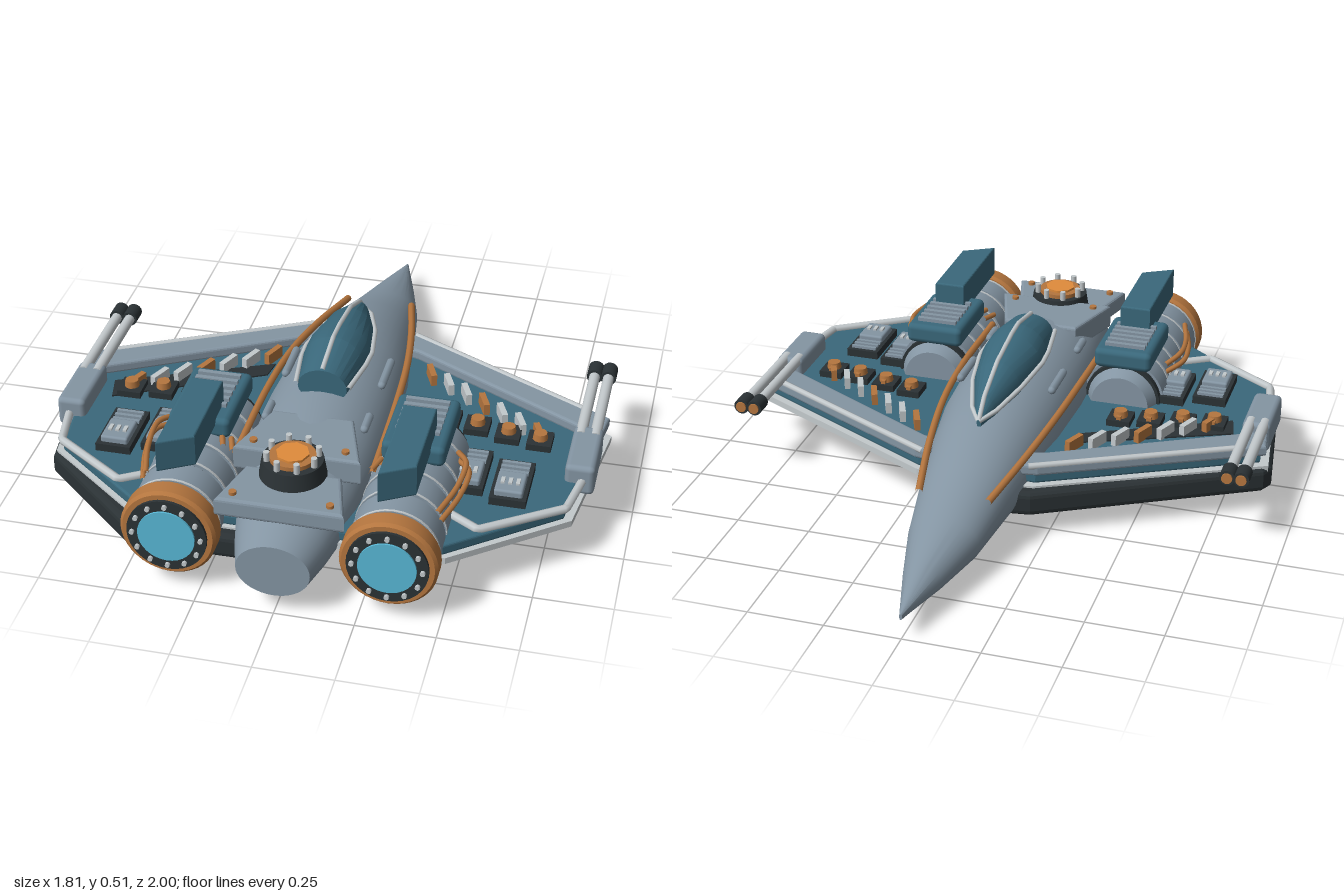
import * as THREE from 'three';
import { toCreasedNormals } from 'three/addons/utils/BufferGeometryUtils.js';
import { RoundedBoxGeometry } from 'three/addons/geometries/RoundedBoxGeometry.js';

const mat = (name, color) => Object.assign(new THREE.MeshStandardMaterial({ color }), { name });
const hull = mat('hull grey', 0x8495a3);
const teal = mat('teal panel', 0x3a687b);
const dark = mat('dark metal', 0x2b3235);
const light = mat('light metal', 0xc3c9cc);
const copper = mat('copper', 0xb5763f);
const amber = mat('amber', 0xe08c3c);
const glow = mat('engine blue', 0x58b8d6);

function add(parent, name, geo, material, x = 0, y = 0, z = 0) {
  const m = new THREE.Mesh(geo, material);
  m.name = name;
  m.position.set(x, y, z);
  parent.add(m);
  return m;
}
const box = (w, h, d) => new THREE.BoxGeometry(w, h, d);
const rbox = (w, h, d, r = 0.015) => new RoundedBoxGeometry(w, h, d, 2, r);
const cylY = (r, h, r2 = r, n = 32) => new THREE.CylinderGeometry(r, r2, h, n);
const cylZ = (r, h, r2 = r, n = 32) => new THREE.CylinderGeometry(r, r2, h, n).rotateX(Math.PI / 2);

// Tube through straight segments or a smooth curve
function pipe(points, r, smooth = true) {
  const v = points.map(p => new THREE.Vector3(...p));
  let path = new THREE.CatmullRomCurve3(v);
  if (!smooth) {
    path = new THREE.CurvePath();
    for (let i = 1; i < v.length; i++) path.add(new THREE.LineCurve3(v[i - 1], v[i]));
  }
  return new THREE.TubeGeometry(path, 40, r, 8);
}

// Flat plate from [x, z] outline between heights y0 and y1
function plate(pts, y0, y1, bevel = 0) {
  const shape = new THREE.Shape(pts.map(([x, z]) => new THREE.Vector2(x, -z)));
  const geo = new THREE.ExtrudeGeometry(shape, {
    depth: y1 - y0 - 2 * bevel, bevelEnabled: bevel > 0, bevelSize: bevel,
    bevelThickness: bevel, bevelOffset: -bevel, bevelSegments: 3,
  });
  return geo.rotateX(-Math.PI / 2).translate(0, y0 + bevel, 0);
}

// Loft of split ellipses; section = [z, centreY, halfWidth, up, down]
function loft(sections, n = 40, crease = 0.5) {
  const pos = [], idx = [];
  for (const [z, cy, rx, up, down] of sections) {
    for (let i = 0; i < n; i++) {
      const a = i / n * Math.PI * 2, s = Math.sin(a);
      pos.push(rx * Math.cos(a), cy + s * (s > 0 ? up : down), z);
    }
  }
  for (let j = 0; j < sections.length - 1; j++) {
    for (let i = 0; i < n; i++) {
      const a = j * n + i, b = j * n + (i + 1) % n;
      idx.push(a, b, b + n, a, b + n, a + n);
    }
  }
  const end = (sections.length - 1) * n;
  for (let i = 1; i < n - 1; i++) idx.push(0, i + 1, i, end, end + i, end + i + 1);
  const g = new THREE.BufferGeometry();
  g.setAttribute('position', new THREE.Float32BufferAttribute(pos, 3));
  g.setIndex(idx);
  return toCreasedNormals(g, crease);
}

function buildFuselage(root) {
  add(root, 'fuselage', loft([
    [-1, 0.083, 0.005, 0.01, 0.01], [-0.8, 0.09, 0.065, 0.06, 0.04],
    [-0.6, 0.11, 0.118, 0.092, 0.078], [-0.4, 0.15, 0.15, 0.128, 0.125],
    [-0.2, 0.18, 0.18, 0.165, 0.16], [0, 0.2, 0.205, 0.185, 0.187],
    [0.25, 0.21, 0.215, 0.19, 0.205], [0.5, 0.21, 0.21, 0.18, 0.18],
    [0.7, 0.195, 0.19, 0.165, 0.142], [0.9, 0.17, 0.145, 0.12, 0.1],
    [1, 0.165, 0.115, 0.09, 0.09]]), hull);

  // Canopy and its frame
  add(root, 'canopy', loft([
    [-0.23, 0.35, 0.008, 0.01, 0.02], [-0.17, 0.36, 0.035, 0.055, 0.04],
    [-0.03, 0.385, 0.08, 0.088, 0.05], [0.13, 0.4, 0.105, 0.1, 0.05],
    [0.21, 0.405, 0.102, 0.1, 0.05], [0.365, 0.41, 0.08, 0.065, 0.05]], 24, 0.3), teal);
  add(root, 'canopyCrest', pipe([[0, 0.36, -0.23], [0, 0.417, -0.17], [0, 0.475, -0.03],
    [0, 0.502, 0.13], [0, 0.507, 0.21], [0, 0.477, 0.365]], 0.008, false), light);
  for (const s of [-1, 1]) {
    add(root, 'canopyFrame', pipe([[0, 0.355, -0.235], [s * 0.042, 0.37, -0.17], [s * 0.085, 0.395, -0.03],
      [s * 0.11, 0.412, 0.13], [s * 0.107, 0.415, 0.21], [s * 0.085, 0.42, 0.37]], 0.008, false), light);
    add(root, 'sideRail', pipe([[s * 0.115, 0.22, -0.5], [s * 0.165, 0.26, -0.25], [s * 0.2, 0.29, 0],
      [s * 0.215, 0.3, 0.25], [s * 0.22, 0.29, 0.62]], 0.012), copper);
    for (const [z, l] of [[0.14, 0.14], [0.43, 0.07]]) {
      const g = new THREE.CapsuleGeometry(0.014, l, 4, 8).rotateX(Math.PI / 2);
      add(root, 'hullBlister', g, hull, s * 0.16, 0.345, z);
    }
  }

  // Rear deck plates with bolts
  add(root, 'foreDeck', plate([[-0.13, 0.48], [0.13, 0.48], [0.2, 0.7], [-0.2, 0.7]], 0.3, 0.385, 0.01), hull);
  add(root, 'aftDeck', plate([[-0.15, 0.73], [0.15, 0.73], [0.2, 0.92], [-0.2, 0.92]], 0.28, 0.345, 0.012), hull);
  for (const s of [-1, 1]) {
    add(root, 'deckBolt', cylY(0.012, 0.015, 0.012, 10), copper, s * 0.145, 0.387, 0.66);
    add(root, 'deckBolt', cylY(0.012, 0.015, 0.012, 10), copper, s * 0.15, 0.348, 0.885);
  }

  // Dorsal hatch ring
  const hatch = new THREE.Group();
  hatch.name = 'dorsalHatch';
  hatch.position.set(0, 0, 0.74);
  root.add(hatch);
  add(hatch, 'hatchBase', cylY(0.095, 0.06, 0.105), dark, 0, 0.37, 0);
  add(hatch, 'hatchRing', cylY(0.072, 0.02), copper, 0, 0.404, 0);
  add(hatch, 'hatchHub', cylY(0.052, 0.02, 0.052, 8), amber, 0, 0.412, 0);
  for (let i = 0; i < 8; i++) {
    const a = (i + 0.5) * Math.PI / 4;
    add(hatch, 'hatchStud', cylY(0.01, 0.04, 0.01, 8), light, 0.08 * Math.cos(a), 0.412, 0.08 * Math.sin(a));
  }
}

function buildWing(root, s) {
  const wing = new THREE.Group();
  wing.name = s > 0 ? 'leftWing' : 'rightWing';
  root.add(wing);
  const m = pts => pts.map(([x, z]) => [s * x, z]);
  const box2 = (name, g, material, x, y, z) => add(wing, name, g, material, s * x, y, z);

  // Stacked plates; only one side carries the heavy lower slab
  if (s < 0) add(wing, 'lowerSlab', plate(m([[0.12, -0.33], [0.2, -0.32], [0.89, 0.06], [0.91, 0.1],
    [0.845, 0.57], [0.5, 0.875], [0.12, 0.87]]), 0.08, 0.165, 0.02), dark);
  add(wing, 'wingPlate', plate(m([[0.12, -0.29], [0.2, -0.28], [0.9, 0.08], [0.835, 0.56], [0.49, 0.83],
    [0.12, 0.83]]), 0.15, 0.172), light);
  add(wing, 'wingPanel', plate(m([[0.12, -0.26], [0.2, -0.26], [0.87, 0.09], [0.81, 0.56], [0.48, 0.82],
    [0.12, 0.82]]), 0.172, 0.21, 0.008), teal);
  add(wing, 'leadingEdge', plate(m([[0.15, -0.28], [0.21, -0.27], [0.89, 0.08], [0.875, 0.19], [0.8, 0.15],
    [0.21, -0.17], [0.15, -0.19]]), 0.205, 0.245, 0.01), hull);
  add(wing, 'edgeRail', pipe([[s * 0.18, 0.24, -0.275], [s * 0.8, 0.24, 0.045]], 0.011, false), light);
  add(wing, 'trailingRail', pipe([[s * 0.845, 0.215, 0.4], [s * 0.815, 0.215, 0.56], [s * 0.57, 0.215, 0.725],
    [s * 0.48, 0.215, 0.67]], 0.014, false), light);

  // Sockets with copper hubs
  if (s < 0) add(wing, 'darkInset', plate(m([[0.26, -0.03], [0.27, 0.04], [0.74, 0.28], [0.76, 0.19]]),
    0.208, 0.215), dark);
  for (const [x, z] of [[0.375, 0.17], [0.475, 0.19], [0.58, 0.215], [0.685, 0.23]]) {
    box2('socket', box(0.08, 0.025, 0.085), dark, x, 0.22, z);
    box2('socketHub', cylY(0.022, 0.03, 0.026, 10), copper, x, 0.24, z);
    box2('socketTab', box(0.016, 0.02, 0.03), copper, x, 0.235, z - 0.02);
  }

  // Row of slanted pegs
  for (let i = 0; i < 7; i++) {
    const peg = box2('peg', box(0.02, 0.04, 0.075), i % 3 ? light : copper, 0.275 + i * 0.067, 0.23, -0.06 + i * 0.044);
    peg.rotation.y = s * 0.4;
  }

  // Equipment modules
  for (const [x, z] of [[0.635, 0.48], [0.495, 0.445]]) {
    box2('moduleBase', box(0.115, 0.03, 0.21), dark, x, 0.222, z);
    box2('moduleCover', rbox(0.09, 0.03, 0.11, 0.008), hull, x, 0.243, z + 0.035);
    for (let i = -1; i < 2; i++) {
      box2('moduleKey', box(0.012, 0.01, 0.028), light, x + i * 0.024, 0.26, z + 0.04);
      box2('moduleSlat', box(0.09, 0.012, 0.012), hull, x, 0.24, z - 0.06 + i * 0.024);
    }
  }

  // Wingtip twin cannon
  box2('cannonHousing', rbox(0.095, 0.105, 0.24, 0.018), hull, 0.835, 0.217, 0.295);
  for (const x of [0.812, 0.858]) {
    box2('barrel', cylZ(0.018, 0.36, 0.018, 16), light, x, 0.256, 0.04);
    box2('muzzle', cylZ(0.026, 0.06, 0.026, 16), dark, x, 0.256, -0.16);
    box2('muzzleCap', cylZ(0.018, 0.008, 0.018, 16), copper, x, 0.256, -0.192);
  }
}

function buildEngine(root, s) {
  const g = new THREE.Group();
  g.name = 'engine';
  g.position.set(s * 0.34, 0.21, 0);
  root.add(g);

  // Banded nacelle
  add(g, 'nacelleCore', cylZ(0.132, 0.55), dark, 0, 0, 0.605);
  add(g, 'nacelleNose', cylZ(0.132, 0.06, 0.1), hull, 0, 0, 0.32);
  for (let i = 0; i < 5; i++) {
    add(g, 'nacelleBand', cylZ(0.141, 0.095), hull, 0, 0, 0.4 + i * 0.106);
    add(g, 'bandTrim', cylZ(0.143, 0.008), light, 0, 0, 0.443 + i * 0.106);
  }

  // Exhaust
  const ring = new THREE.LatheGeometry([[0.12, -0.035], [0.142, -0.035], [0.151, -0.025], [0.151, 0.025],
    [0.142, 0.035], [0.12, 0.035]].map(p => new THREE.Vector2(...p)), 40).rotateX(Math.PI / 2);
  add(g, 'exhaustRing', toCreasedNormals(ring, 0.5), copper, 0, 0, 0.915);
  add(g, 'exhaustCollar', cylZ(0.126, 0.09), dark, 0, 0, 0.915);
  add(g, 'exhaustGlow', cylZ(0.09, 0.008), glow, 0, 0, 0.962);
  for (let i = 0; i < 12; i++) {
    const a = i * Math.PI / 6;
    add(g, 'exhaustStud', cylZ(0.008, 0.014, 0.008, 8), light, 0.108 * Math.cos(a), 0.108 * Math.sin(a), 0.963);
  }

  // Louvred intake and fin pod on top
  add(g, 'intakeBlock', rbox(0.2, 0.07, 0.29, 0.02), teal, 0, 0.155, 0.455);
  for (let i = 0; i < 6; i++) add(g, 'louvre', box(0.14, 0.02, 0.016), hull, 0, 0.192, 0.355 + i * 0.033);
  add(g, 'finPod', plate([[-0.05, 0.5], [0.055, 0.5], [0.055, 0.81], [-0.05, 0.87]], 0.165, 0.272, 0.006), teal);

  // Feed pipes
  for (const [k, dy] of [[0, 0], [1, 0.03]]) {
    add(g, 'feedPipe', pipe([[s * 0.12, 0.06 + dy, 0.46], [s * (0.165 - k * 0.01), 0.075 + dy, 0.53],
      [s * (0.16 - k * 0.01), 0.07 + dy, 0.65], [s * (0.125 - k * 0.01), 0.065 + dy, 0.79]], 0.009), copper);
    add(g, 'innerPipe', pipe([[-s * (0.07 + k * 0.03), 0.13 - dy * 0.5, 0.58],
      [-s * (0.09 + k * 0.03), 0.125 - dy * 0.5, 0.64]], 0.009), copper);
  }
}

export function createModel() {
  const root = new THREE.Group();
  root.name = 'starfighter';
  buildFuselage(root);
  for (const s of [-1, 1]) {
    buildWing(root, s);
    buildEngine(root, s);
  }
  return root;
}
